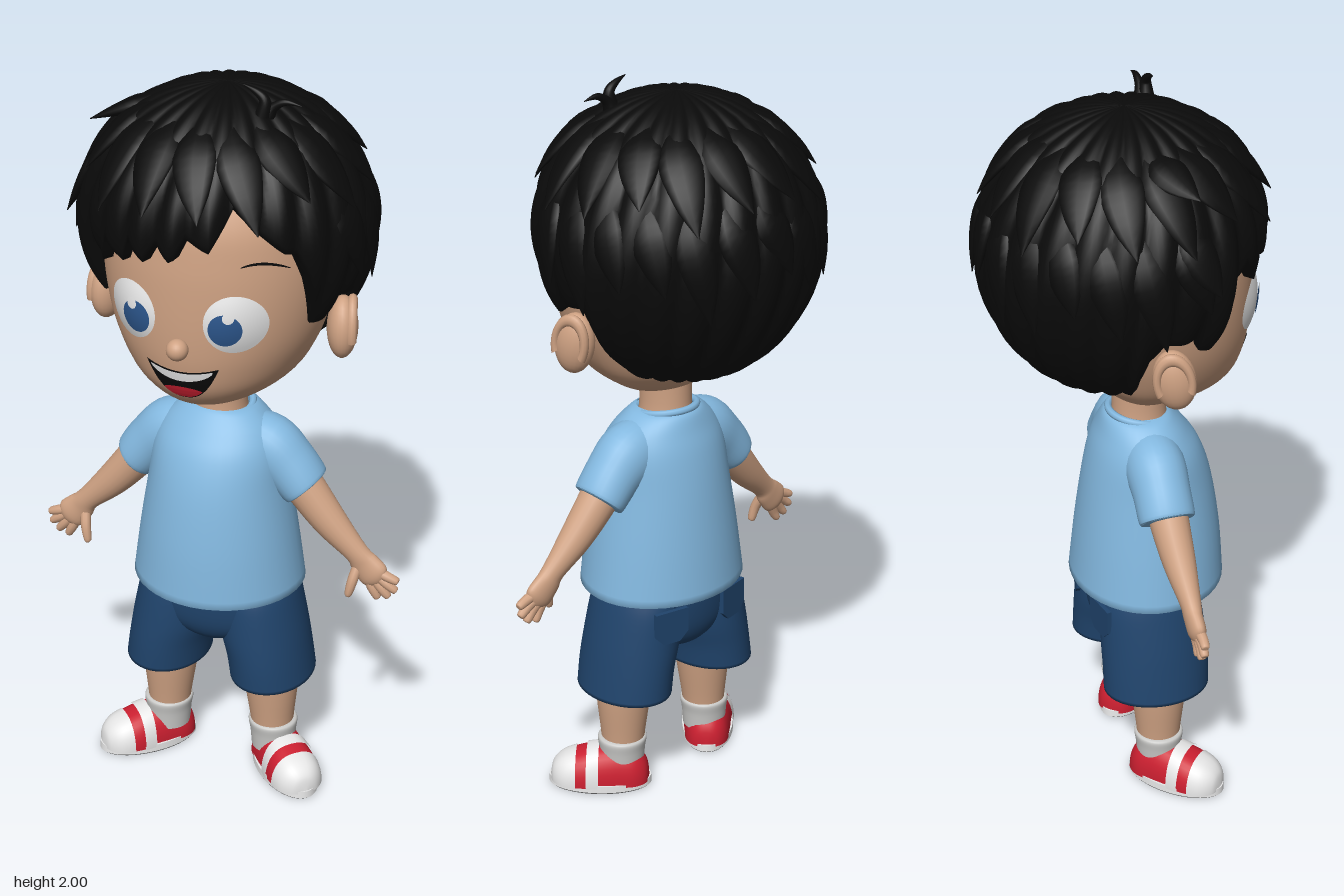
import * as THREE from 'three';
import { mergeGeometries } from 'three/addons/utils/BufferGeometryUtils.js';

const V = (x, y, z) => new THREE.Vector3(x, y, z);
const rad = THREE.MathUtils.degToRad;
const mat = (name, color, side = THREE.FrontSide) =>
  Object.assign(new THREE.MeshStandardMaterial({ color, side }), { name });

// Rows of points joined into a smooth surface; wrap closes each row into a ring.
function grid(rows, wrap = true) {
  const n = rows[0].length, index = [];
  for (let i = 0; i < rows.length - 1; i++) {
    for (let j = 0; j < (wrap ? n : n - 1); j++) {
      const k = (j + 1) % n, a = i * n + j, b = i * n + k;
      index.push(a, b, b + n, a, b + n, a + n);
    }
  }
  const g = new THREE.BufferGeometry().setFromPoints(rows.flat());
  g.setIndex(index);
  g.computeVertexNormals();
  return g;
}

// Catmull-Rom smoothing of a list of number rows.
function smooth(keys, n = 5) {
  const out = [], last = keys.length - 1;
  for (let i = 0; i < last; i++) {
    const [a, b, c, d] = [keys[Math.max(i - 1, 0)], keys[i], keys[i + 1], keys[Math.min(i + 2, last)]];
    for (let s = 0; s < n; s++) {
      const t = s / n;
      out.push(b.map((_, k) => 0.5 * (2 * b[k] + (c[k] - a[k]) * t
        + (2 * a[k] - 5 * b[k] + 4 * c[k] - d[k]) * t * t
        + (3 * b[k] - a[k] - 3 * c[k] + d[k]) * t * t * t)));
    }
  }
  return [...out, keys[last]];
}

// Linear look-up of a row by its first number.
function lookUp(table, x) {
  let i = 0;
  while (i < table.length - 2 && table[i + 1][0] < x) i++;
  const a = table[i], b = table[i + 1];
  const t = THREE.MathUtils.clamp((x - a[0]) / (b[0] - a[0]), 0, 1);
  return a.map((v, k) => v + (b[k] - v) * t);
}

// Upright body from sections [y, halfWidth, zFront, zBack, centreX].
const body = (rows, cz, n = 40) => grid(rows.map(([y, hx, zf, zb, cx = 0]) =>
  Array.from({ length: n }, (_, j) => {
    const a = j / n * Math.PI * 2, c = Math.cos(a);
    return V(cx + hx * Math.sin(a), y, cz + c * (c > 0 ? zf - cz : cz - zb));
  })));

// Tapered limb along points [x, y, z, radiusAcross, radiusAlongHint].
function limb(keys, hint = V(0, 0, 1), n = 16, steps = 5) {
  const rows = smooth(keys, steps), p = rows.map(r => V(r[0], r[1], r[2]));
  return grid(rows.map((r, i) => {
    const d = p[Math.min(i + 1, p.length - 1)].clone().sub(p[Math.max(i - 1, 0)]).normalize();
    const v = d.clone().cross(hint).normalize(), u = v.clone().cross(d);
    return Array.from({ length: n }, (_, j) => {
      const a = j / n * Math.PI * 2;
      return p[i].clone().addScaledVector(u, r[4] * Math.cos(a)).addScaledVector(v, r[3] * Math.sin(a));
    });
  }));
}

function mirrored(geo) {
  const g = geo.clone().scale(-1, 1, 1), ix = g.index;
  for (let i = 0; i < ix.count; i += 3) {
    const b = ix.getX(i + 1);
    ix.setX(i + 1, ix.getX(i + 2));
    ix.setX(i + 2, b);
  }
  return g;
}

export function createModel() {
  const model = new THREE.Group();
  model.name = 'boy';
  const D = THREE.DoubleSide;
  const skin = mat('skin', 0xcfa283), black = mat('black', 0x0a0a0a, D), blue = mat('shirtBlue', 0x83b8df, D),
    navy = mat('navy', 0x20446c, D), red = mat('red', 0xcb1f30), white = mat('white', 0xe9e9e9),
    iris = mat('irisBlue', 0x2c568c), grey = mat('soleGrey', 0x6a6a6a), sockGrey = mat('sockGrey', 0xc9c9c7);
  const add = (name, geo, m) => {
    const mesh = new THREE.Mesh(geo, m);
    mesh.name = name;
    model.add(mesh);
  };
  const pair = (name, geo, m) => {
    add('left' + name, geo, m);
    add('right' + name, mirrored(geo), m);
  };
  const ball = (r, sx, sy, sz, x, y, z) =>
    new THREE.SphereGeometry(r, 24, 16).scale(sx, sy, sz).translate(x, y, z);

  // Head, neck, nose and ears
  const cz = 0.04;
  const headRows = smooth([[1.165, 0.001, 0.06, 0.02], [1.176, 0.09, 0.19, -0.02], [1.2, 0.15, 0.255, -0.06],
    [1.25, 0.21, 0.298, -0.1], [1.32, 0.252, 0.318, -0.13], [1.4, 0.281, 0.326, -0.17], [1.5, 0.298, 0.327, -0.24],
    [1.6, 0.3, 0.322, -0.27], [1.7, 0.288, 0.305, -0.26], [1.8, 0.24, 0.25, -0.2], [1.88, 0.13, 0.15, -0.08],
    [1.91, 0.001, 0.041, 0.039]]);
  add('head', body(headRows, cz, 56), skin);
  add('neck', body(smooth([[1.04, 0.085, 0.13, -0.04], [1.11, 0.068, 0.115, -0.03], [1.23, 0.07, 0.12, -0.03]]), 0.045), skin);
  add('nose', ball(0.028, 1, 1, 1, 0, 1.387, 0.338), skin);
  pair('Ear', mergeGeometries([
    ball(1, 0.04, 0.082, 0.055, 0, 0, 0),
    new THREE.TorusGeometry(0.05, 0.013, 10, 24, Math.PI * 1.3).rotateZ(-0.5).rotateY(-Math.PI / 2)
      .scale(1, 1.3, 0.85).translate(0.024, 0.004, 0),
  ]).rotateX(-0.15).rotateY(0.3).translate(0.322, 1.37, 0.03), skin);

  // Painted face details following the face surface, with a bulge at the eyes
  const faceZ = (x, y) => {
    const [, hx, zf] = lookUp(headRows, y);
    const d = ((Math.abs(x) - 0.135) / 0.075) ** 2 + ((y - 1.46) / 0.08) ** 2;
    return cz + (zf - cz) * Math.sqrt(Math.max(0, 1 - (x / hx) ** 2)) + 0.014 * Math.max(0, 1 - d);
  };
  const patch = (x, w, top, bottom, lift) => grid(Array.from({ length: 13 }, (_, i) =>
    Array.from({ length: 29 }, (_, j) => {
      const u = -Math.cos(j / 28 * Math.PI), px = x + w * u;
      const y = bottom(u) + (top(u) - bottom(u)) * i / 12;
      return V(px, y, faceZ(px, y) + lift);
    })), false);
  const arc = u => Math.sqrt(Math.max(0, 1 - u * u));
  const oval = (x, y, w, h, lift) => patch(x, w, u => y + h * arc(u), u => y - h * arc(u), lift);
  pair('EyeWhite', oval(0.135, 1.46, 0.072, 0.077, 0.004), white);
  pair('Iris', oval(0.117, 1.45, 0.04, 0.043, 0.007), iris);
  pair('EyeHighlight', oval(0.127, 1.485, 0.014, 0.015, 0.009), white);
  pair('Brow', patch(0.195, 0.05, u => 1.614 - 0.014 * u * u - 0.008 * u + 0.004 * arc(u),
    u => 1.614 - 0.014 * u * u - 0.008 * u - 0.003 * arc(u), 0.003), black);
  const lipTop = u => 1.319 + 0.015 * u * u, lipLow = u => 1.236 + 0.098 * Math.abs(u) ** 2.4;
  add('mouth', patch(0, 0.096, lipTop, lipLow, 0.003), black);
  add('teeth', patch(0, 0.082, u => lipTop(u * 0.85) - 0.003, u => lipTop(u * 0.85) - 0.005 - 0.022 * arc(u), 0.006), white);
  add('tongue', patch(0, 0.055, u => 1.256 + 0.018 * arc(u), u => lipLow(u * 0.57) + 0.004, 0.006), red);

  // Hair cap with a jagged hairline given as [degrees from front, y]
  const hairline = [[-180, 1.19], [-140, 1.2], [-101, 1.21], [-97, 1.42], [-90, 1.46], [-75, 1.47], [-72, 1.42],
    [-62, 1.41], [-56, 1.6], [-50, 1.64], [-40, 1.56], [-36, 1.64], [-26, 1.59], [-22, 1.66], [-14, 1.61],
    [-9, 1.67], [-1, 1.62], [4, 1.69], [14, 1.66], [24, 1.77], [32, 1.72], [44, 1.65], [50, 1.64], [56, 1.55],
    [62, 1.41], [72, 1.42], [75, 1.47], [90, 1.46], [97, 1.42], [101, 1.21], [140, 1.2], [180, 1.19]];
  const hairPoint = (phi, theta, r) => V(r * Math.sin(theta) * Math.sin(phi),
    1.6 + r * Math.cos(theta) * (Math.cos(theta) < 0 ? 1.1 : 1), r * Math.sin(theta) * Math.cos(phi));
  const hairRows = [];
  for (let i = -1; i <= 30; i++) {
    hairRows.push(Array.from({ length: 180 }, (_, j) => {
      const deg = j * 2 - 180, phi = rad(deg), y = lookUp(hairline, deg)[1] - 1.6;
      const end = Math.acos(y / (y < 0 ? 0.4125 : 0.375)), t = 1 - Math.max(i, 0) / 30, theta = end * t;
      const ridge = Math.abs(Math.sin(phi * 12 + theta * 1.5)) * Math.sin(theta) * 0.016;
      return hairPoint(phi, theta, (0.367 + ridge) * (1 - 0.06 * t ** 6) * (i < 0 ? 0.82 : 1));
    }));
  }
  add('hair', grid(hairRows), black);

  // Overlapping locks lying on the cap
  const locks = [];
  const lock = (deg, from, to, width, lift) => {
    const keys = [0, 0.35, 0.7, 1].map((t, k) => {
      const p = hairPoint(rad(deg + 10 * t), rad(from + (to - from) * t), 0.362 + lift * t * t);
      return [p.x, p.y, p.z, [0.01, width, width * 0.75, 0.001][k], [0.004, 0.02, 0.014, 0.001][k]];
    });
    locks.push(limb(keys, hairPoint(rad(deg + 5), rad((from + to) / 2), 1).sub(V(0, 1.6, 0)).normalize(), 10, 4));
  };
  for (let k = 0; k < 16; k++) lock(k * 22.5, 28, 70 + 5 * Math.sin(k * 2.3), 0.055, 0.03);
  for (let k = 0; k < 13; k++) lock(72 + k * 17, 62, 100 + 7 * Math.sin(k * 1.9), 0.05, 0.026);
  lock(-86, 30, 54, 0.05, 0.065);
  lock(-82, 60, 88, 0.05, 0.045);
  locks.push(limb([[0.13, 1.93, 0.1, 0.02, 0.02], [0.135, 1.965, 0.1, 0.014, 0.014], [0.115, 1.985, 0.1, 0.009, 0.009], [0.08, 2, 0.1, 0.001, 0.001]]));
  locks.push(limb([[0.14, 1.93, 0.09, 0.02, 0.02], [0.155, 1.95, 0.09, 0.012, 0.012], [0.185, 1.965, 0.09, 0.008, 0.008], [0.225, 1.96, 0.09, 0.001, 0.001]]));
  add('hairLocks', mergeGeometries(locks), black);

  // Shirt with collar and sleeves
  add('shirt', body([[0.63, 0.2, 0.23, -0.1], [0.602, 0.225, 0.265, -0.135], ...smooth([[0.6, 0.235, 0.273, -0.145],
    [0.75, 0.214, 0.262, -0.13], [0.9, 0.19, 0.238, -0.11], [1, 0.177, 0.205, -0.09], [1.06, 0.15, 0.165, -0.07],
    [1.1, 0.108, 0.13, -0.055], [1.112, 0.078, 0.115, -0.04]])], 0.055), blue);
  add('collar', new THREE.TorusGeometry(0.082, 0.01, 8, 40).rotateX(Math.PI / 2 + 0.15).translate(0, 1.102, 0.042), blue);
  pair('Sleeve', limb([[0.05, 1.025, 0.045, 0.07, 0.07], [0.13, 1, 0.045, 0.088, 0.08], [0.19, 0.955, 0.045, 0.076, 0.076],
    [0.237, 0.902, 0.045, 0.066, 0.074], [0.232, 0.908, 0.045, 0.054, 0.06]], undefined, 28), blue);

  // Arms and hands
  pair('Arm', limb([[0.17, 0.98, 0.05, 0.055, 0.055], [0.235, 0.9, 0.05, 0.054, 0.052], [0.31, 0.812, 0.055, 0.046, 0.043],
    [0.385, 0.738, 0.06, 0.033, 0.028], [0.41, 0.708, 0.06, 0.04, 0.024], [0.44, 0.677, 0.062, 0.043, 0.022],
    [0.455, 0.662, 0.062, 0.02, 0.012], [0.457, 0.66, 0.062, 0.001, 0.001]], undefined, 20), skin);
  const fingers = [[0.452, 0.69, 0.503, 0.672], [0.452, 0.676, 0.499, 0.643], [0.442, 0.665, 0.479, 0.621],
    [0.425, 0.66, 0.45, 0.612], [0.395, 0.705, 0.378, 0.622]].map(([x, y, tx, ty], k) =>
    limb([[x, y, 0.062, 0.014, 0.015], [(x + tx) / 2, (y + ty) / 2, 0.064 + 0.02 * (k > 3), 0.014, 0.014],
      [tx, ty, 0.062 + 0.03 * (k > 3), 0.01, 0.011], [tx + (tx - x) * 0.04, ty + (ty - y) * 0.04, 0.062 + 0.03 * (k > 3), 0.001, 0.001]],
    undefined, 10));
  pair('Fingers', mergeGeometries(fingers), skin);

  // Shorts with back pockets
  add('shortsSeat', body(smooth([[0.41, 0.02, 0.08, 0.02], [0.43, 0.1, 0.15, -0.06], [0.48, 0.2, 0.185, -0.092],
    [0.56, 0.217, 0.195, -0.1], [0.63, 0.205, 0.19, -0.095]]), 0.05), navy);
  pair('ShortsLeg', body([[0.37, 0.085, 0.15, -0.05, 0.148], [0.312, 0.1, 0.18, -0.085, 0.152],
    ...smooth([[0.31, 0.114, 0.195, -0.1, 0.153], [0.38, 0.114, 0.196, -0.1, 0.143], [0.46, 0.118, 0.192, -0.1, 0.126],
      [0.56, 0.11, 0.18, -0.095, 0.113], [0.61, 0.1, 0.16, -0.08, 0.11]])], 0.05), navy);
  const pocket = new THREE.Shape([[-0.05, 0.045], [-0.05, -0.025], [-0.025, -0.05], [0.025, -0.05], [0.05, -0.025], [0.05, 0.045]]
    .map(([x, y]) => new THREE.Vector2(x, y)));
  for (const s of [-1, 1]) {
    add('backPocket', new THREE.ExtrudeGeometry(pocket, { depth: 0.012, bevelEnabled: false })
      .rotateY(-s * 0.2).translate(s * 0.115, 0.535, -0.106), navy);
  }

  // Legs and socks
  pair('Leg', body(smooth([[0.1, 0.058, 0.113, -0.003, 0.155], [0.16, 0.061, 0.117, -0.007, 0.154],
    [0.3, 0.078, 0.132, -0.022, 0.149], [0.42, 0.08, 0.135, -0.025, 0.14]]), 0.055), skin);
  pair('Sock', body(smooth([[0.06, 0.06, 0.115, -0.005, 0.158], [0.11, 0.064, 0.119, -0.009, 0.158],
    [0.143, 0.068, 0.123, -0.013, 0.157], [0.15, 0.057, 0.112, -0.002, 0.156]]), 0.055), sockGrey);

  // Shoes turned outwards, from arched sections [z, halfWidth, height]
  const shoe = smooth([[-0.138, 0.001, 0.021], [-0.13, 0.035, 0.07], [-0.1, 0.058, 0.108], [-0.05, 0.066, 0.122],
    [0, 0.069, 0.116], [0.05, 0.072, 0.104], [0.1, 0.062, 0.087], [0.13, 0.035, 0.06], [0.139, 0.001, 0.021]], 8);
  const arch = (z0, z1, grow) => grid(Array.from({ length: 31 }, (_, i) => {
    const [z, w, h] = lookUp(shoe, z0 + (z1 - z0) * (0.5 - 0.5 * Math.cos(i / 30 * Math.PI)));
    return Array.from({ length: 36 }, (_, j) => {
      const a = j / 36 * Math.PI * 2, c = Math.cos(a);
      return V((w + grow) * Math.sign(c) * Math.abs(c) ** 0.8, 0.016 + (h - 0.016 + grow) * Math.max(0, Math.sin(a)) ** 0.9, z);
    });
  }));
  const disc = (r0, r1, h, y) => new THREE.CylinderGeometry(r0, r1, h, 48).scale(0.075, 1, 0.144).translate(0, y, 0);
  const place = g => g.rotateY(Math.PI / 4).translate(0.208, 0, 0.092);
  pair('Shoe', place(arch(-0.138, 0.07, 0)), red);
  pair('ToeCap', place(arch(0.066, 0.139, 0.003)), white);
  pair('Strap', place(arch(0.002, 0.036, 0.005)), white);
  pair('SoleRim', place(disc(0.99, 1, 0.02, 0.014)), white);
  pair('Sole', place(disc(0.99, 0.97, 0.005, 0.0025)), grey);
  return model;
}
